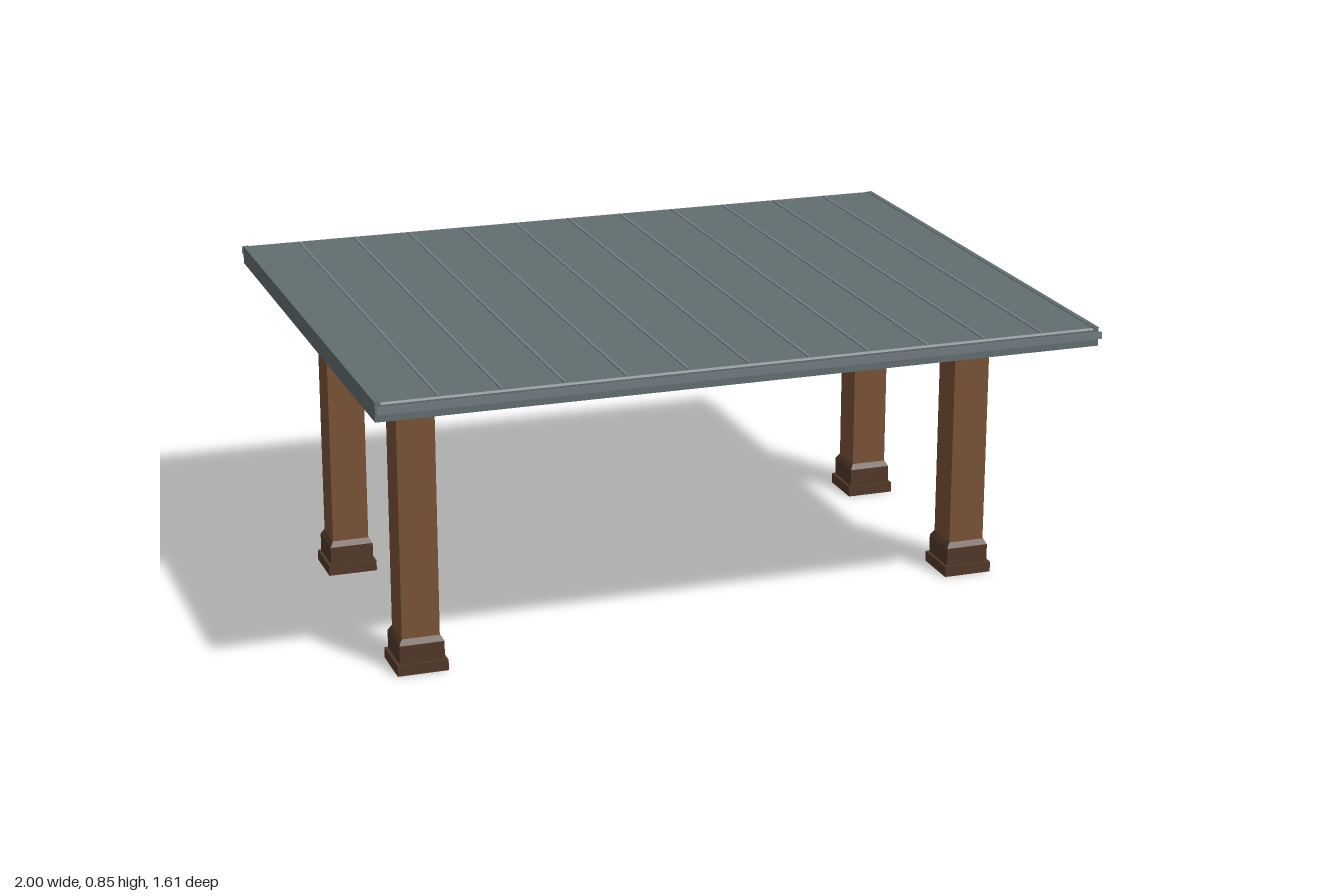
import * as THREE from 'three';

const mat = (name, color) => {
  const m = new THREE.MeshStandardMaterial({ color });
  m.name = name;
  return m;
};

export function createModel() {
  const group = new THREE.Group();
  group.name = 'patioCover';
  const roofGrey = mat('roofGrey', 0x626d70);
  const trimGrey = mat('trimGrey', 0x717d82);
  const soffitTaupe = mat('soffitTaupe', 0x8f8880);
  const beamDark = mat('beamDark', 0x3c4346);
  const timber = mat('timber', 0x7a5236);
  const baseBrown = mat('baseBrown', 0x523829);

  // Box given by its min and max corners
  const box = (name, material, [x0, y0, z0], [x1, y1, z1], parent = group) => {
    const mesh = new THREE.Mesh(new THREE.BoxGeometry(x1 - x0, y1 - y0, z1 - z0), material);
    mesh.position.set((x0 + x1) / 2, (y0 + y1) / 2, (z0 + z1) / 2);
    mesh.name = name;
    parent.add(mesh);
    return mesh;
  };

  // Constant (z, y) section swept along the roof's length
  const sweepX = (name, material, points, length) => {
    const shape = new THREE.Shape(points.map(([z, y]) => new THREE.Vector2(-z, y)));
    const geo = new THREE.ExtrudeGeometry(shape, { depth: length, bevelEnabled: false });
    geo.translate(0, 0, -length / 2);
    geo.rotateY(Math.PI / 2);
    const mesh = new THREE.Mesh(geo, material);
    mesh.name = name;
    group.add(mesh);
  };

  // Roof deck with slightly clipped long edges
  sweepX('roofDeck', roofGrey, [
    [-0.783, 0.82], [0.783, 0.82], [0.783, 0.837], [0.778, 0.842], [-0.778, 0.842], [-0.783, 0.837],
  ], 2);

  // Raised seams between the twelve roof panels
  for (let i = -5; i <= 5; i++) {
    const x = i / 6;
    box('roofSeam', trimGrey, [x - 0.004, 0.841, -0.775], [x + 0.004, 0.845, 0.775]);
  }

  // Fascia boards and gutters, mirrored
  for (const s of [-1, 1]) {
    const ex = s * 0.9925;
    box('sideFascia', roofGrey, [ex - 0.0075, 0.792, -0.783], [ex + 0.0075, 0.844, 0.783]);
    const ez = s * 0.7755;
    box('endFascia', roofGrey, [-0.985, 0.792, ez - 0.0075], [0.985, 0.8205, ez + 0.0075]);
    sweepX('gutter', trimGrey, [
      [s * 0.782, 0.817], [s * 0.803, 0.817], [s * 0.803, 0.837],
      [s * 0.8, 0.837], [s * 0.8, 0.82], [s * 0.782, 0.82],
    ], 2);
  }

  // Ceiling, cross purlins and the two main beams
  box('soffit', soffitTaupe, [-0.985, 0.816, -0.768], [0.985, 0.8205, 0.768]);
  for (let i = -3; i <= 3; i++) {
    const z = i * 0.21;
    box('purlin', beamDark, [-0.95, 0.802, z - 0.014], [0.95, 0.817, z + 0.014]);
  }
  for (const x of [-0.834, 0.834]) {
    box('mainBeam', beamDark, [x - 0.035, 0.793, -0.74], [x + 0.035, 0.817, 0.74]);
  }

  // Square columns with stepped plinths and caps
  const addColumn = (x, z) => {
    const column = new THREE.Group();
    column.name = 'column';
    const block = (name, material, half, y0, y1) =>
      box(name, material, [-half, y0, -half], [half, y1, half], column);
    block('plinth', baseBrown, 0.07, 0, 0.03);
    block('baseBlock', baseBrown, 0.062, 0.03, 0.082);
    const taper = new THREE.CylinderGeometry(0.053 * Math.SQRT2, 0.062 * Math.SQRT2, 0.016, 4, 1);
    taper.rotateY(Math.PI / 4);
    const shoulder = new THREE.Mesh(taper.toNonIndexed(), baseBrown);
    shoulder.geometry.computeVertexNormals();
    shoulder.position.y = 0.09;
    shoulder.name = 'baseShoulder';
    column.add(shoulder);
    block('shaft', timber, 0.052, 0.09, 0.765);
    block('lowerCap', timber, 0.06, 0.762, 0.778);
    block('upperCap', timber, 0.067, 0.778, 0.794);
    column.position.set(x, 0, z);
    group.add(column);
  };
  [[-0.834, 0.487], [-0.834, -0.289], [0.834, 0.297], [0.834, -0.422]].forEach(([x, z]) => addColumn(x, z));

  return group;
}
